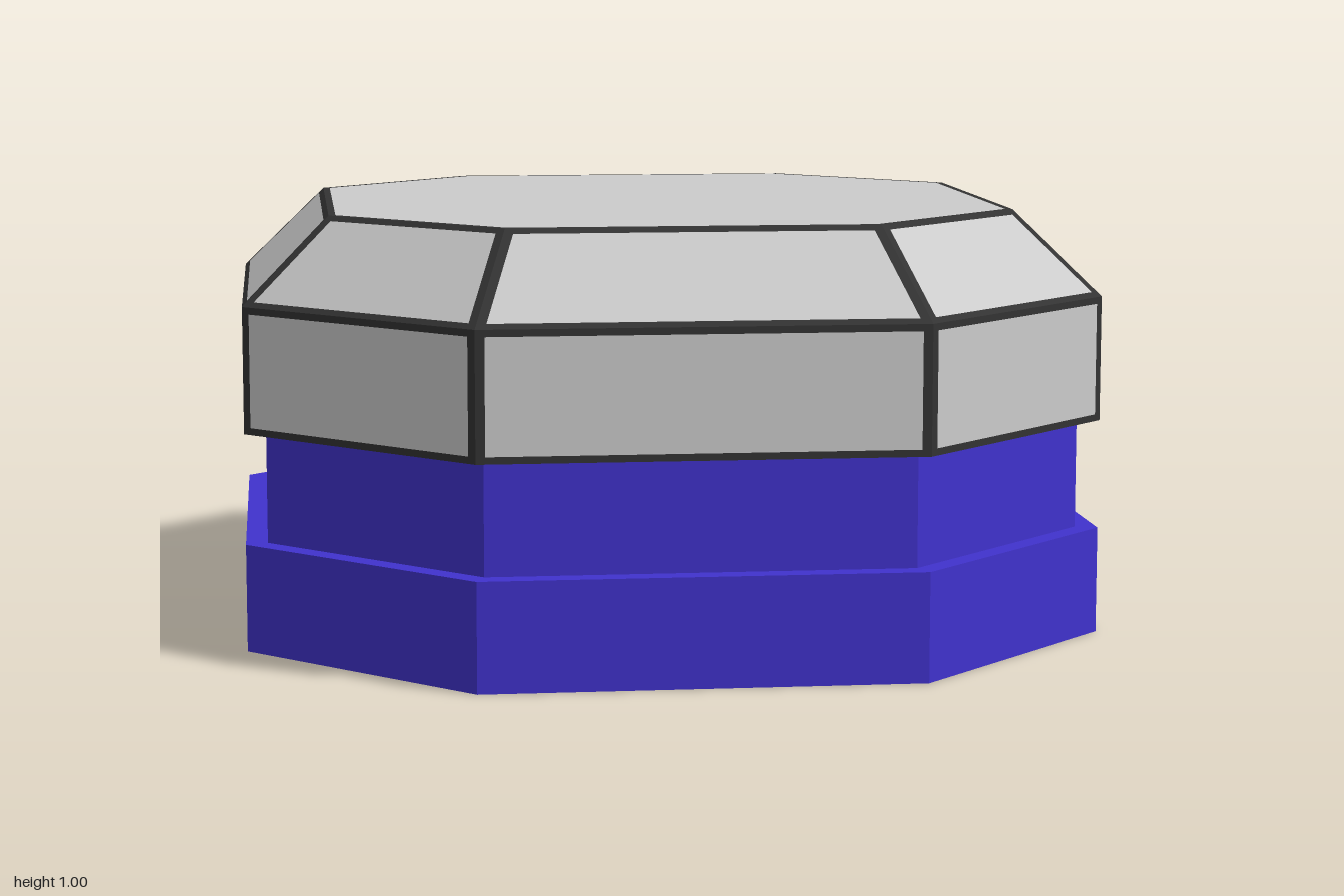
import * as THREE from 'three';

const GREY = new THREE.MeshStandardMaterial({ color: 0xcccccc, flatShading: true });
const DARK = new THREE.MeshStandardMaterial({ color: 0x333333, flatShading: true });
const BLUE = new THREE.MeshStandardMaterial({ color: 0x4032cc, flatShading: true });

// Octagon outline: half width w, flat sides of half length c, counter-clockwise
const octagon = (w, c) => [
  [w, -c], [w, c], [c, w], [-c, w], [-w, c], [-w, -c], [-c, -w], [c, -w],
].map(([x, y]) => new THREE.Vector2(x, y));

// The same outline laid flat at height y
const ring = (w, c, y) => octagon(w, c).map((p) => new THREE.Vector3(p.x, y, -p.y));

function addMesh(group, name, geometry, material) {
  const mesh = new THREE.Mesh(geometry, material);
  mesh.name = name;
  group.add(mesh);
}

// Solid octagonal block from y0 to y1
function block(w, c, y0, y1) {
  const geo = new THREE.ExtrudeGeometry(new THREE.Shape(octagon(w, c)), { depth: y1 - y0, bevelEnabled: false });
  return geo.rotateX(-Math.PI / 2).translate(0, y0, 0);
}

// Convex polygons (counter-clockwise from outside) as triangle fans
function polygons(list) {
  const pos = [];
  for (const p of list) {
    for (let i = 1; i < p.length - 1; i++) {
      for (const v of [p[0], p[i], p[i + 1]]) pos.push(v.x, v.y, v.z);
    }
  }
  const geo = new THREE.BufferGeometry();
  geo.setAttribute('position', new THREE.Float32BufferAttribute(pos, 3));
  geo.computeVertexNormals();
  return geo;
}

// Shrink a convex polygon; edge i moves inwards by widths[i]
function inset(poly, widths) {
  const n = poly.length;
  return poly.map((v, i) => {
    const prev = (i + n - 1) % n;
    const u = v.clone().sub(poly[prev]).normalize();
    const w = poly[(i + 1) % n].clone().sub(v).normalize();
    const sin = u.clone().cross(w).length();
    return v.clone().addScaledVector(u, -widths[i] / sin).addScaledVector(w, widths[prev] / sin);
  });
}

// Grey panel with a flush dark border
function addPanel(group, name, poly, widths) {
  const inner = inset(poly, widths);
  const border = poly.map((v, i) => {
    const j = (i + 1) % poly.length;
    return [v, poly[j], inner[j], inner[i]];
  });
  addMesh(group, name, polygons([inner]), GREY);
  addMesh(group, name + 'Border', polygons(border), DARK);
}

export function createModel() {
  const model = new THREE.Group();
  model.name = 'octagonalPedestal';

  // Stepped blue base
  addMesh(model, 'foot', block(1, 0.5, 0, 0.25), BLUE);
  addMesh(model, 'neck', block(0.95, 0.48, 0.25, 0.51), BLUE);

  // Framed cap: upright sides, sloping bevels and a flat top
  const cap = new THREE.Group();
  cap.name = 'cap';
  model.add(cap);
  const low = ring(1, 0.5, 0.507);
  const mid = ring(1, 0.5, 0.8);
  const top = ring(0.8, 0.42, 1);
  const widths = [0.016, 0.021, 0.016, 0.021];
  for (let i = 0; i < 8; i++) {
    const j = (i + 1) % 8;
    addPanel(cap, 'sidePanel' + i, [low[i], low[j], mid[j], mid[i]], widths);
    addPanel(cap, 'bevelPanel' + i, [mid[i], mid[j], top[j], top[i]], widths);
  }
  addPanel(cap, 'topPanel', top, Array(8).fill(0.016));

  // Overhanging underside of the cap
  const under = new THREE.Shape(octagon(1, 0.5));
  under.holes.push(new THREE.Path(octagon(0.95, 0.48)));
  addMesh(cap, 'underside', new THREE.ShapeGeometry(under).rotateX(Math.PI / 2).translate(0, 0.507, 0), GREY);

  return model;
}
